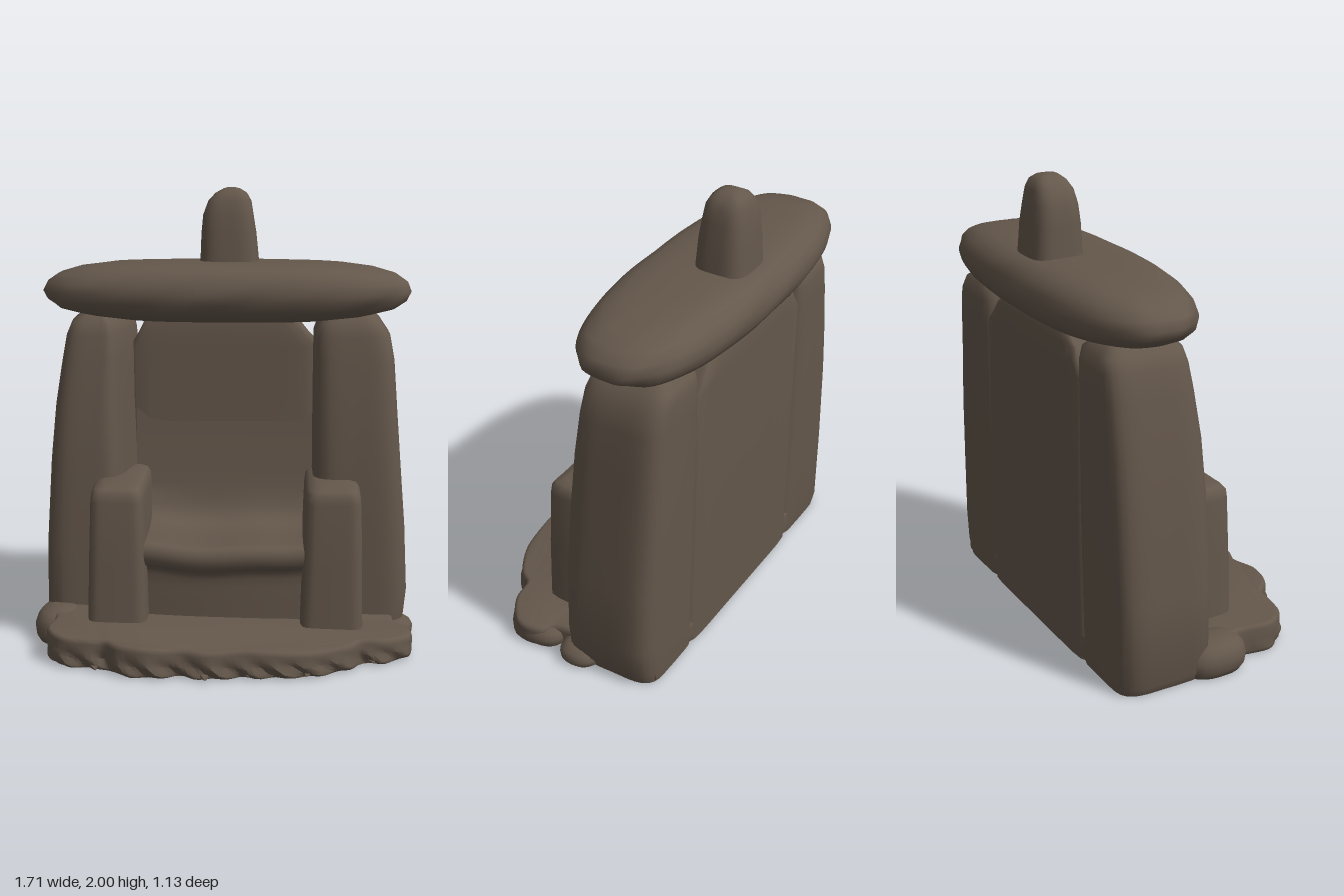
import * as THREE from 'three';
import { toCreasedNormals } from 'three/addons/utils/BufferGeometryUtils.js';

const stone = new THREE.MeshStandardMaterial({ color: 0x64574b });
stone.name = 'weathered stone';

// Stack of rounded-rectangle rings [y, x0, x1, z0, z1]; n sets squareness.
// skew pulls the front of the inner (+x) side outwards, wobble roughens it.
function loft(rings, { n = 5, seg = 56, wobble = 0.005, skew = 0, crease = 0.9 } = {}) {
  const pos = [], index = [];
  rings.forEach(([y, x0, x1, z0, z1], i) => {
    for (let j = 0; j < seg; j++) {
      const a = (j / seg) * Math.PI * 2, c = Math.cos(a), s = Math.sin(a);
      const r = 1 / Math.pow(Math.abs(c) ** n + Math.abs(s) ** n, 1 / n);
      const w = 1 + wobble * Math.sin(j * 0.9 + i * 1.7) * Math.cos(a * 3 + y * 5);
      const u = r * c * w, v = r * s * w;
      const pull = skew * Math.max(u, 0) * (v + 1) / 2;
      pos.push((x0 + x1) / 2 + u * (x1 - x0) / 2 - pull, y, (z0 + z1) / 2 + v * (z1 - z0) / 2);
    }
  });
  const last = rings.length - 1, bottom = pos.length / 3, top = bottom + 1;
  for (const [y, x0, x1, z0, z1] of [rings[0], rings[last]]) pos.push((x0 + x1) / 2, y, (z0 + z1) / 2);
  for (let j = 0; j < seg; j++) {
    const k = (j + 1) % seg;
    for (let i = 0; i < last; i++) {
      const p = i * seg + j, q = i * seg + k;
      index.push(p, p + seg, q, q, p + seg, q + seg);
    }
    index.push(bottom, j, k, top, last * seg + k, last * seg + j);
  }
  const g = new THREE.BufferGeometry();
  g.setAttribute('position', new THREE.Float32BufferAttribute(pos, 3));
  g.setIndex(index);
  return toCreasedNormals(g, crease);
}

export function createModel() {
  const group = new THREE.Group();
  const add = (name, geo) => {
    const m = new THREE.Mesh(geo, stone);
    m.name = name;
    group.add(m);
    return m;
  };

  // Standing side stones, leaning in towards the top
  add('rightPillar', loft([
    [0, -0.8, -0.39, -0.46, -0.03], [0.04, -0.82, -0.39, -0.465, -0.03],
    [0.4, -0.815, -0.39, -0.47, -0.03], [0.8, -0.79, -0.39, -0.475, -0.04],
    [1.05, -0.765, -0.4, -0.475, -0.055], [1.25, -0.735, -0.4, -0.475, -0.08],
    [1.36, -0.715, -0.405, -0.475, -0.095], [1.42, -0.69, -0.42, -0.465, -0.11],
    [1.46, -0.64, -0.46, -0.42, -0.16], [1.49, -0.58, -0.5, -0.36, -0.22],
  ], { skew: 0.09 }));
  add('leftPillar', loft([
    [0, 0.39, 0.78, -0.46, -0.03], [0.06, 0.39, 0.81, -0.465, -0.03],
    [0.2, 0.39, 0.825, -0.465, -0.03], [0.5, 0.39, 0.81, -0.47, -0.03],
    [0.8, 0.39, 0.785, -0.475, -0.04], [1.05, 0.39, 0.765, -0.475, -0.055],
    [1.25, 0.39, 0.75, -0.475, -0.08], [1.36, 0.39, 0.73, -0.475, -0.095],
    [1.42, 0.41, 0.69, -0.465, -0.11], [1.46, 0.45, 0.64, -0.42, -0.16],
    [1.49, 0.5, 0.58, -0.36, -0.22],
  ]));

  // Upright slab between the pillars
  add('backSlab', loft([
    [0, -0.45, 0.45, -0.465, -0.3], [0.7, -0.45, 0.45, -0.47, -0.32],
    [1.28, -0.45, 0.43, -0.47, -0.33], [1.34, -0.41, 0.37, -0.47, -0.33],
    [1.39, -0.385, 0.33, -0.465, -0.335], [1.42, -0.34, 0.29, -0.46, -0.34],
    [1.45, -0.3, 0.25, -0.44, -0.36],
  ], { n: 10, wobble: 0.004 }));

  // Seat with a rounded lip, sweeping up into the backrest
  const lip = new THREE.SplineCurve([
    [0.08, 0.06], [0.085, 0.2], [0.095, 0.33], [0.15, 0.365], [0.168, 0.42], [0.14, 0.462],
    [0.05, 0.465], [-0.12, 0.465], [-0.22, 0.49], [-0.275, 0.57], [-0.305, 0.75], [-0.335, 1.05],
  ].map(p => new THREE.Vector2(...p)));
  const profile = new THREE.Shape([new THREE.Vector2(-0.4, 0.06), ...lip.getPoints(44), new THREE.Vector2(-0.4, 1.05)]);
  const seatGeo = new THREE.ExtrudeGeometry(profile, { depth: 0.84, steps: 16, bevelEnabled: false });
  seatGeo.rotateY(-Math.PI / 2).translate(0.42, 0, 0);
  const sp = seatGeo.attributes.position;
  for (let i = 0; i < sp.count; i++) {
    const x = sp.getX(i), y = sp.getY(i), z = sp.getZ(i);
    if (y > 0.3 && y < 0.6) sp.setY(i, y + 0.12 * x * x + 0.005 * Math.sin(x * 14));
    if (z > 0) sp.setZ(i, z - 0.15 * x * x);
  }
  add('seat', toCreasedNormals(seatGeo, 0.8));

  // Arm blocks running back beside the seat
  const arm = (x0, x1) => loft([
    [0.05, x0 - 0.02, x1 + 0.015, -0.38, 0.19], [0.4, x0 - 0.01, x1 + 0.008, -0.38, 0.185],
    [0.67, x0, x1, -0.38, 0.175], [0.705, x0 + 0.005, x1 - 0.005, -0.38, 0.17],
    [0.725, x0 + 0.02, x1 - 0.02, -0.37, 0.155], [0.732, x0 + 0.05, x1 - 0.05, -0.34, 0.12],
  ], { n: 9, wobble: 0.004 });
  add('rightArm', arm(-0.585, -0.35));
  add('leftArm', arm(0.355, 0.6));

  // Broad lens-shaped capstone: [y, half width, half depth]
  const cap = [[1.415, 0.3, 0.1], [1.425, 0.48, 0.18], [1.445, 0.64, 0.235], [1.475, 0.755, 0.268],
    [1.51, 0.805, 0.287], [1.55, 0.822, 0.295], [1.59, 0.805, 0.288], [1.625, 0.755, 0.268],
    [1.652, 0.66, 0.24], [1.668, 0.54, 0.2], [1.676, 0.35, 0.13]];
  add('capstone', loft(cap.map(([y, w, d]) => [y, -w, w, -0.272 - d, -0.272 + d]),
    { n: 2.6, seg: 80, wobble: 0.008, crease: 1.2 }));

  // Upright knob on the capstone
  add('finial', loft([
    [1.62, -0.13, 0.145, -0.475, -0.235], [1.7, -0.122, 0.138, -0.468, -0.242],
    [1.8, -0.118, 0.128, -0.462, -0.248], [1.88, -0.11, 0.115, -0.452, -0.258],
    [1.94, -0.088, 0.105, -0.44, -0.27], [1.975, -0.055, 0.085, -0.425, -0.29],
    [1.994, -0.02, 0.055, -0.4, -0.315], [2, 0, 0.03, -0.375, -0.34],
  ], { n: 3.5, seg: 40, crease: 1.2 }));

  // Lumpy ground slab, outline as x, z
  const outline = new THREE.SplineCurve([
    [-0.76, -0.3], [-0.76, 0.0], [-0.73, 0.13], [-0.745, 0.27], [-0.68, 0.36], [-0.57, 0.39], [-0.49, 0.4],
    [-0.42, 0.465], [-0.3, 0.495], [-0.17, 0.47], [-0.06, 0.5], [0.08, 0.475], [0.2, 0.475], [0.38, 0.45],
    [0.53, 0.37], [0.59, 0.3], [0.7, 0.28], [0.8, 0.2], [0.8, 0.1], [0.74, 0.02], [0.75, -0.3],
  ].map(([x, z]) => new THREE.Vector2(x, -z)));
  const ground = new THREE.Shape([new THREE.Vector2(-0.72, 0.44), ...outline.getPoints(100), new THREE.Vector2(0.72, 0.44)]);
  const groundGeo = new THREE.ExtrudeGeometry(ground, {
    depth: 0.08, steps: 3, bevelThickness: 0.022, bevelSize: 0.018, bevelSegments: 3,
  });
  groundGeo.rotateX(-Math.PI / 2).translate(0, 0.022, 0);
  const gp = groundGeo.attributes.position;
  for (let i = 0; i < gp.count; i++) {
    const x = gp.getX(i), y = gp.getY(i), z = gp.getZ(i);
    if (y > 0.09) gp.setY(i, y - 0.02 * x + 0.004 * Math.sin(x * 13));
    if (z > 0.2 && y < 0.07) gp.setZ(i, z + 0.012 * Math.sin(x * 47 + y * 60));
  }
  add('groundSlab', toCreasedNormals(groundGeo, 0.7));

  // Rounded boulders at both sides: x0, x1, z0, z1, height
  [[-0.855, -0.62, -0.16, 0.14, 0.145], [0.62, 0.852, -0.2, 0.0, 0.085], [0.6, 0.83, 0.0, 0.26, 0.1],
    [-0.75, -0.5, 0.12, 0.39, 0.128]].forEach(([x0, x1, z0, z1, h], i) => {
    const ring = (t, s) => [h * t, x0 + s, x1 - s, z0 + s, z1 - s];
    add('boulder' + (i + 1), loft([ring(0, 0.02), ring(0.2, 0.004), ring(0.5, 0), ring(0.75, 0.012),
      ring(0.92, 0.035), ring(1, 0.08)], { n: 2.5, seg: 32, crease: 1.2 }));
  });

  // Broken chips along the front edge: x, z of the tip, turn
  [[-0.53, 0.46, 0.2], [-0.38, 0.5, 0], [-0.06, 0.56, 0.1], [0.12, 0.51, 0.3], [0.36, 0.5, -0.2], [0.66, 0.335, 0.5]]
    .forEach(([x, z, turn], i) => {
      const chip = add('chip' + (i + 1), new THREE.ConeGeometry(0.05, 0.11, 4).toNonIndexed());
      chip.geometry.rotateY(Math.PI / 4).rotateX(Math.PI / 2).scale(1, 0.45, 1).translate(0, 0, -0.055);
      chip.geometry.computeVertexNormals();
      chip.position.set(x, 0.017, z);
      chip.rotation.y = turn;
    });

  return group;
}
